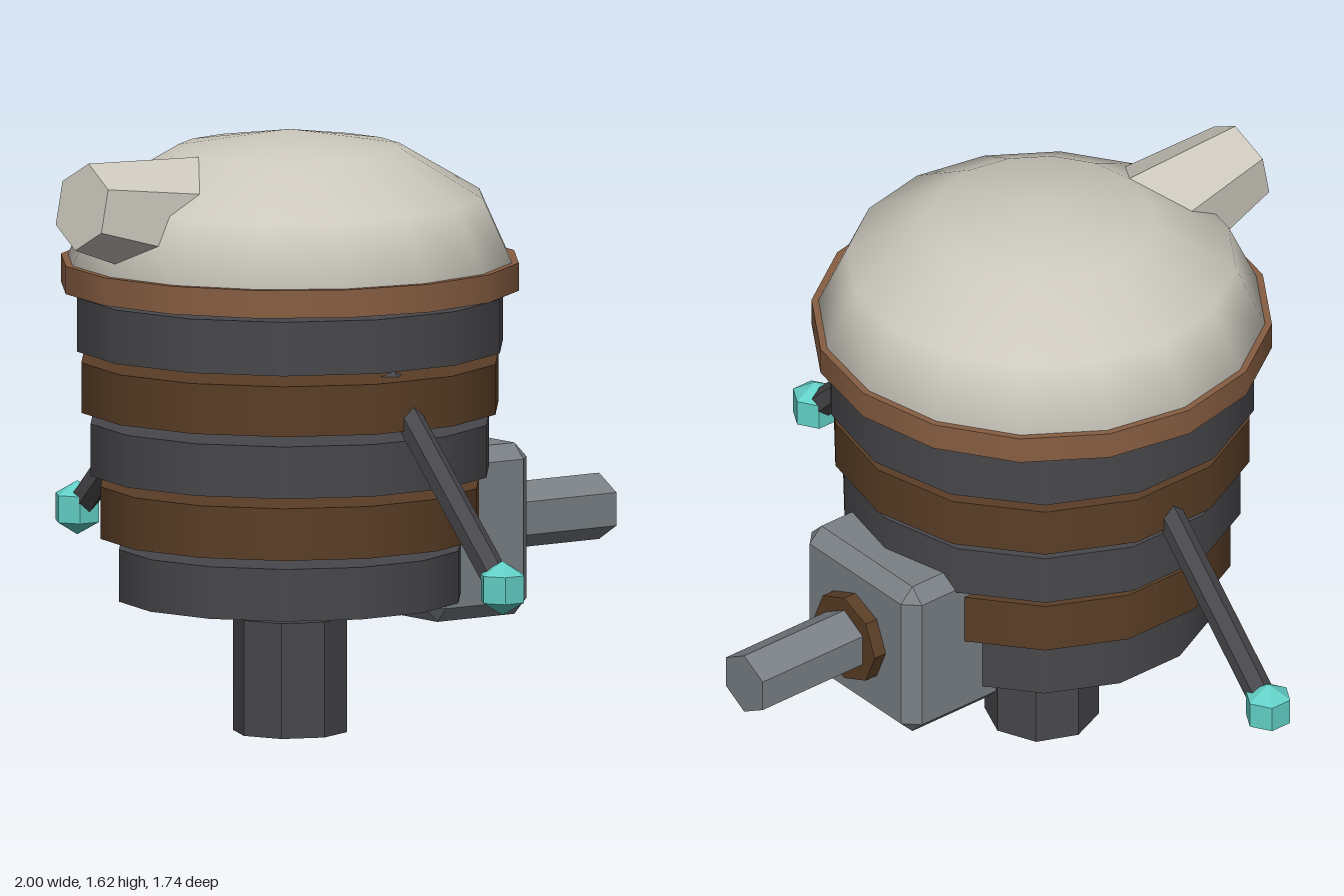
import * as THREE from 'three';
import { ConvexGeometry } from 'three/addons/geometries/ConvexGeometry.js';

export function createModel() {
  const model = new THREE.Group();
  model.name = 'domedRobot';
  const mat = (name, color) => {
    const m = new THREE.MeshStandardMaterial({ color });
    m.name = name;
    return m;
  };
  const cream = mat('cream', 0xcdc9be);
  const copper = mat('copper', 0x885e42);
  const brown = mat('brown', 0x5a3e26);
  const charcoal = mat('charcoal', 0x48474b);
  const steel = mat('steel', 0x7a8085);
  const teal = mat('teal', 0x62cfc6);

  const add = (name, geometry, material, x, y, z) => {
    const mesh = new THREE.Mesh(geometry, material);
    mesh.name = name;
    mesh.position.set(x, y, z);
    model.add(mesh);
    return mesh;
  };
  // Faceted version of a geometry
  const flat = (geometry) => {
    const g = geometry.toNonIndexed();
    g.computeVertexNormals();
    return g;
  };
  const prism = (rTop, rBottom, length, sides) =>
    flat(new THREE.CylinderGeometry(rTop, rBottom, length, sides));

  const bodyZ = 0.157; // body axis

  // Foot post
  add('footPost', prism(0.153, 0.153, 0.31, 8), charcoal, 0, 0.155, bodyZ);

  // Stack of separate body rings, bottom to top: radius, low y, high y
  [
    [0.463, 0.36, 0.5],
    [0.513, 0.53, 0.67],
    [0.54, 0.7, 0.84],
    [0.565, 0.87, 1.005],
    [0.577, 1.035, 1.18],
  ].forEach(([r, y0, y1], i) => {
    add('bodyRing' + (i + 1), new THREE.CylinderGeometry(r, r, y1 - y0, 14),
      i % 2 ? brown : charcoal, 0, (y0 + y1) / 2, bodyZ);
  });

  // Collar and squashed dome
  add('domeCollar', new THREE.CylinderGeometry(0.615, 0.615, 0.075, 16), copper, 0, 1.2325, bodyZ);
  const dome = new THREE.SphereGeometry(0.6, 16, 3, 0, Math.PI * 2, 0, Math.PI / 2);
  dome.scale(1, 0.355 / 0.6, 1);
  add('dome', dome, cream, 0, 1.262, bodyZ);

  // Eye stalk, tapering forward and tilted up
  const tilt = THREE.MathUtils.degToRad(11);
  const stalkLength = 0.4;
  const stalk = prism(0.117, 0.18, stalkLength, 6);
  stalk.rotateX(Math.PI / 2 - tilt);
  add('eyeStalk', stalk, cream, 0,
    1.466 - Math.sin(tilt) * stalkLength / 2, 0.847 - Math.cos(tilt) * stalkLength / 2);

  // Arms with ball hands
  for (const side of [1, -1]) {
    const label = side > 0 ? 'left' : 'right';
    const arm = prism(0.038, 0.038, 0.71, 6);
    arm.rotateY(Math.PI / 2);
    arm.rotateZ(-side * Math.PI * 0.75);
    add(label + 'Arm', arm, charcoal, side * 0.688, 0.742, bodyZ);

    const hand = flat(new THREE.SphereGeometry(0.0725, 6, 3));
    hand.rotateY(Math.PI / 2);
    add(label + 'Hand', hand, teal, side * 0.945, 0.4925, bodyZ);
  }

  // Backpack: box with every edge chamfered
  const half = [0.23, 0.23, 0.168];
  const chamfer = 0.04;
  const corners = [];
  for (const sx of [1, -1]) for (const sy of [1, -1]) for (const sz of [1, -1]) {
    for (let axis = 0; axis < 3; axis++) {
      const p = half.map((h, i) => (i === axis ? h : h - chamfer));
      corners.push(new THREE.Vector3(p[0] * sx, p[1] * sy, p[2] * sz));
    }
  }
  add('backpack', new ConvexGeometry(corners), steel, 0, 0.515, -0.318);

  // Rear socket and pipe
  const socket = prism(0.127, 0.127, 0.06, 8);
  socket.rotateX(Math.PI / 2);
  add('pipeSocket', socket, brown, 0, 0.517, -0.494);
  const pipe = prism(0.089, 0.089, 0.4, 6);
  pipe.rotateX(Math.PI / 2);
  add('rearPipe', pipe, steel, 0, 0.517, -0.669);

  return model;
}
